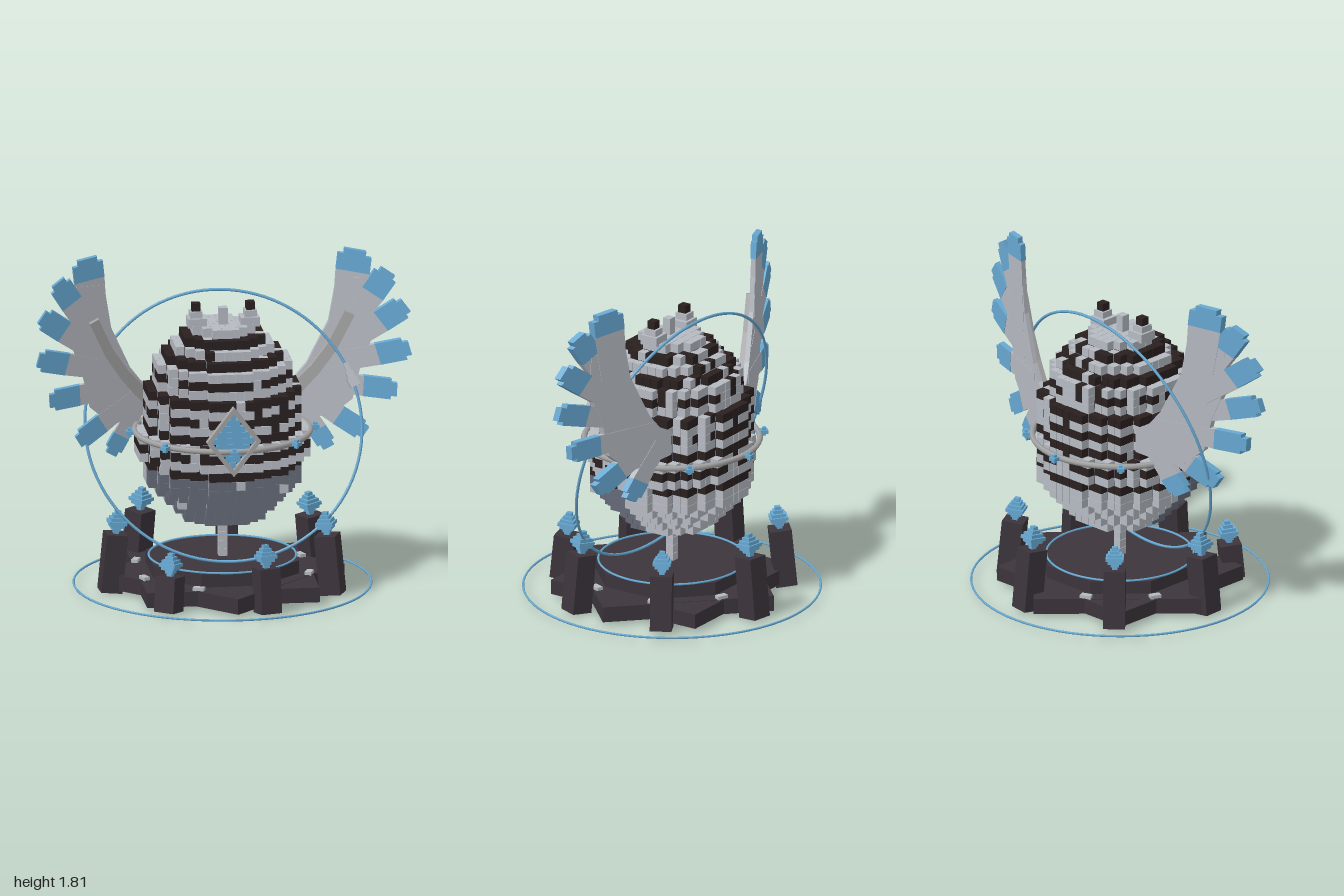
import * as THREE from 'three';
import { mergeGeometries } from 'three/addons/utils/BufferGeometryUtils.js';

const mat = (name, color) => {
  const m = new THREE.MeshStandardMaterial({ color });
  m.name = name;
  return m;
};

export function createModel() {
  const light = mat('pale stone', 0xb6bac2);
  const metal = mat('warm grey', 0xa5a4a5);
  const dark = mat('dark brown', 0x2a2020);
  const slate = mat('slate', 0x646a78);
  const rock = mat('base rock', 0x3c353c);
  const blue = mat('sky blue', 0x67a9d3);

  const model = new THREE.Group();
  const add = (name, geo, material, parent = model) => {
    const mesh = new THREE.Mesh(geo, material);
    mesh.name = name;
    parent.add(mesh);
    return mesh;
  };
  const box = (w, h, d, x = 0, y = 0, z = 0) => new THREE.BoxGeometry(w, h, d).translate(x, y, z);
  const group = (name, parent = model) => {
    const g = new THREE.Group();
    g.name = name;
    parent.add(g);
    return g;
  };

  // Egg: rows of cubes, only the outer shell is kept
  const P = 0.048, Y0 = 0.39;
  const widths = [9, 11, 13, 15, 17, 17, 17, 19, 19, 19, 17, 17, 17, 17, 17, 15, 15, 15, 13, 11, 9, 7];
  const inside = (i, r, k) => {
    if (r < 0 || r >= widths.length) return false;
    const a = widths[r] / 2, b = Math.min(widths[r], 17) / 2;
    return (i / a) ** 2 + (k / b) ** 2 <= 1;
  };
  let seed = 7;
  const rand = () => (seed = (seed * 16807) % 2147483647) / 2147483647;
  const cells = { light: [], dark: [], slate: [] };
  for (let r = 0; r < widths.length; r++)
    for (let i = -9; i <= 9; i++)
      for (let k = -9; k <= 9; k++) {
        if (!inside(i, r, k)) continue;
        const buried = inside(i + 1, r, k) && inside(i - 1, r, k) && inside(i, r, k + 1) &&
          inside(i, r, k - 1) && inside(i, r + 1, k) && inside(i, r - 1, k);
        if (buried) continue;
        const n = rand();
        let kind = 'light';
        if (r < 6) kind = k > 0 && n > 0.01 ? 'slate' : 'light';
        else if (r % 2 === 0) kind = n < 0.1 ? 'light' : 'dark';
        else if (r < 21 && n < 0.04) kind = 'dark';
        cells[kind].push(box(P * 0.97, P * 0.97, P * 0.97, i * P, Y0 + (r + 0.5) * P, k * P));
      }
  const egg = group('egg');
  add('eggPaleCubes', mergeGeometries(cells.light), light, egg);
  add('eggDarkCubes', mergeGeometries(cells.dark), dark, egg);
  add('eggSlateCubes', mergeGeometries(cells.slate), slate, egg);

  // Crown bumps
  add('crownPost', box(0.046, 0.1, 0.046, 0, 1.485, 0.02), light, egg);
  for (const s of [-1, 1]) {
    add('crownStep', box(0.1, 0.05, 0.1, s * 0.14, 1.46, 0.02), light, egg);
    add('crownBlock', box(0.066, 0.04, 0.07, s * 0.145, 1.5, 0.02), light, egg);
    add('crownTip', box(0.046, 0.046, 0.046, s * 0.145, 1.54, 0.02), dark, egg);
  }

  // Stem of stacked cubes
  for (let i = 0; i < 5; i++) add('stemCube', box(0.046, 0.044, 0.046, 0, 0.19 + i * 0.046, 0), light);

  // Equator band with studs
  add('equatorBand', new THREE.TorusGeometry(0.465, 0.016, 6, 48).rotateX(Math.PI / 2).translate(0, 0.86, 0), metal);
  for (let i = 0; i < 8; i++) {
    const a = (i * Math.PI) / 4;
    const stud = mergeGeometries([box(0.02, 0.046, 0.02), box(0.04, 0.02, 0.04)]);
    stud.rotateY(-a).translate(0.495 * Math.cos(a), 0.86, 0.495 * Math.sin(a));
    add('bandStud', stud, blue);
  }

  // Front diamond: frame and stepped gem
  const diamond = (w, h, T) => {
    const s = new T();
    s.moveTo(w, 0); s.lineTo(0, h); s.lineTo(-w, 0); s.lineTo(0, -h); s.closePath();
    return s;
  };
  const emblem = group('emblem');
  emblem.position.set(0, 0.915, 0.44);
  const frame = diamond(0.145, 0.19, THREE.Shape);
  frame.holes.push(diamond(0.117, 0.153, THREE.Path));
  add('emblemFrame', new THREE.ExtrudeGeometry(frame, { depth: 0.04, bevelEnabled: false }), metal, emblem);
  const steps = [];
  for (let i = -4; i <= 4; i++) steps.push(box(0.226 - Math.abs(i) * 0.05, 0.032, 0.04, 0, i * 0.033, 0));
  add('emblemGem', mergeGeometries(steps), blue, emblem);

  // Star base from two turned squares and an upper slab
  const base = group('base');
  add('baseSquare', box(0.92, 0.08, 0.92, 0, 0.06, 0), rock, base);
  add('baseDiamond', box(0.92, 0.084, 0.92).rotateY(Math.PI / 4).translate(0, 0.06, 0), rock, base);
  const slab = new THREE.CylinderGeometry(0.42, 0.42, 0.075, 8).rotateY(Math.PI / 8).toNonIndexed();
  slab.computeVertexNormals();
  add('upperSlab', slab.translate(0, 0.135, 0), rock, base);
  for (let i = 0; i < 8; i++) {
    const a = ((i + 0.5) * Math.PI) / 4;
    add('baseChip', box(0.035, 0.025, 0.06).rotateY(-a).translate(0.475 * Math.cos(a), 0.107, 0.475 * Math.sin(a)), light, base);
  }

  // Thin rings on the ground and on the slab
  const flatRing = (name, r, t, y) =>
    add(name, new THREE.TorusGeometry(r, t, 6, 72).rotateX(Math.PI / 2).translate(0, y, 0), blue, base);
  flatRing('groundRing', 0.787, 0.006, 0.025);
  flatRing('slabRing', 0.39, 0.006, 0.176);

  // Leaning pillars, each with a stepped crystal
  const tops = [0.32, 0.24, 0.19, 0.315, 0.315, 0.335, 0.3];
  const layers = [0.03, 0.045, 0.075, 0.095, 0.075, 0.05, 0.03];
  tops.forEach((top, i) => {
    const a = THREE.MathUtils.degToRad(22.5 + (i * 360) / 7);
    const pillar = group('pillar');
    pillar.position.set(0.605 * Math.cos(a), 0.006, 0.605 * Math.sin(a));
    pillar.rotation.set(0, -a, 0.1, 'YXZ');
    add('pillarShaft', box(0.115, top, 0.115, 0, top / 2, 0), rock, pillar);
    const gem = layers.map((w, j) => box(w, 0.018, w, 0, top + 0.007 + j * 0.018, 0));
    add('pillarCrystal', mergeGeometries(gem), blue, pillar);
  });

  // Large tilted halo with a stepped marker
  class Halo extends THREE.Curve {
    getPoint(t, v = new THREE.Vector3()) {
      const c = Math.cos(t * 2 * Math.PI), s = Math.sin(t * 2 * Math.PI);
      return v.set(0.005 + 0.728 * c, 0.88 + 0.692 * s, 0.08 * c - 0.2 * s);
    }
  }
  const halo = new Halo();
  add('halo', new THREE.TubeGeometry(halo, 96, 0.008, 6, true), blue);
  const marker = mergeGeometries([
    box(0.055, 0.05, 0.055, 0, -0.04, 0), box(0.04, 0.045, 0.04), box(0.024, 0.05, 0.024, 0, 0.045, 0)]);
  const at = 0.06;
  const clip = add('haloMarker', marker, light);
  clip.position.copy(halo.getPoint(at));
  clip.quaternion.setFromUnitVectors(new THREE.Vector3(0, 1, 0), halo.getTangent(at));

  // Wings: flat plates sheared so that the tips sweep forward
  const plate = (name, pts, s, depth, z, material, parent) => {
    const shape = new THREE.Shape(pts.map(([x, y]) => new THREE.Vector2(s * x, y)));
    const geo = new THREE.ExtrudeGeometry(shape, { depth, bevelEnabled: false });
    const p = geo.attributes.position;
    for (let i = 0; i < p.count; i++)
      p.setZ(i, p.getZ(i) + z - depth / 2 - 0.21 + 0.42 * (Math.abs(p.getX(i)) - 0.35));
    geo.computeVertexNormals();
    add(name, geo, material, parent);
  };
  const outline = [[0.34, 1.05], [0.41, 1.09], [0.47, 1.17], [0.58, 1.41], [0.62, 1.65], [0.79, 1.66], [0.81, 1.53],
    [0.81, 1.36], [0.74, 1.17], [0.7, 0.99], [0.58, 0.88], [0.46, 0.89], [0.34, 0.92]];
  // Feather: root x, root y, tip x, tip y, half width, blue length
  const feathers = [
    [0.66, 1.3, 0.715, 1.805, 0.085, 0.12], [0.6, 1.25, 0.88, 1.7, 0.062, 0.15], [0.55, 1.2, 0.97, 1.52, 0.06, 0.16],
    [0.5, 1.15, 0.99, 1.29, 0.058, 0.17], [0.45, 1.08, 0.925, 1.055, 0.056, 0.17],
    [0.42, 1.02, 0.765, 0.81, 0.055, 0.16], [0.4, 1.0, 0.58, 0.715, 0.05, 0.11]];
  for (const s of [-1, 1]) {
    const wing = group(s > 0 ? 'leftWing' : 'rightWing');
    plate('wingBody', outline, s, 0.03, 0, light, wing);
    feathers.forEach(([x0, y0, x1, y1, w, tip], i) => {
      const L = Math.hypot(x1 - x0, y1 - y0), dx = (x1 - x0) / L, dy = (y1 - y0) / L;
      const strip = (list) => [...list, ...list.map(([d, h]) => [d, -h]).reverse()]
        .map(([d, h]) => [x0 + dx * d - dy * h, y0 + dy * d + dx * h]);
      const z = i % 2 ? 0.002 : -0.002;
      plate('feather', strip([[0, w * 0.8], [L - tip, w]]), s, 0.03, z, light, wing);
      plate('featherTip', strip([[L - tip, w], [L - 0.03, w], [L - 0.03, w * 0.65], [L, w * 0.65]]), s, 0.036, z, blue, wing);
    });
    // Curved arm along the leading edge
    plate('wingArm', [[0.36, 1.0], [0.41, 1.08], [0.49, 1.17], [0.57, 1.29], [0.655, 1.475], [0.705, 1.455],
      [0.615, 1.26], [0.53, 1.13], [0.45, 1.03], [0.4, 0.98]], s, 0.045, 0.03, metal, wing);
  }
  return model;
}
